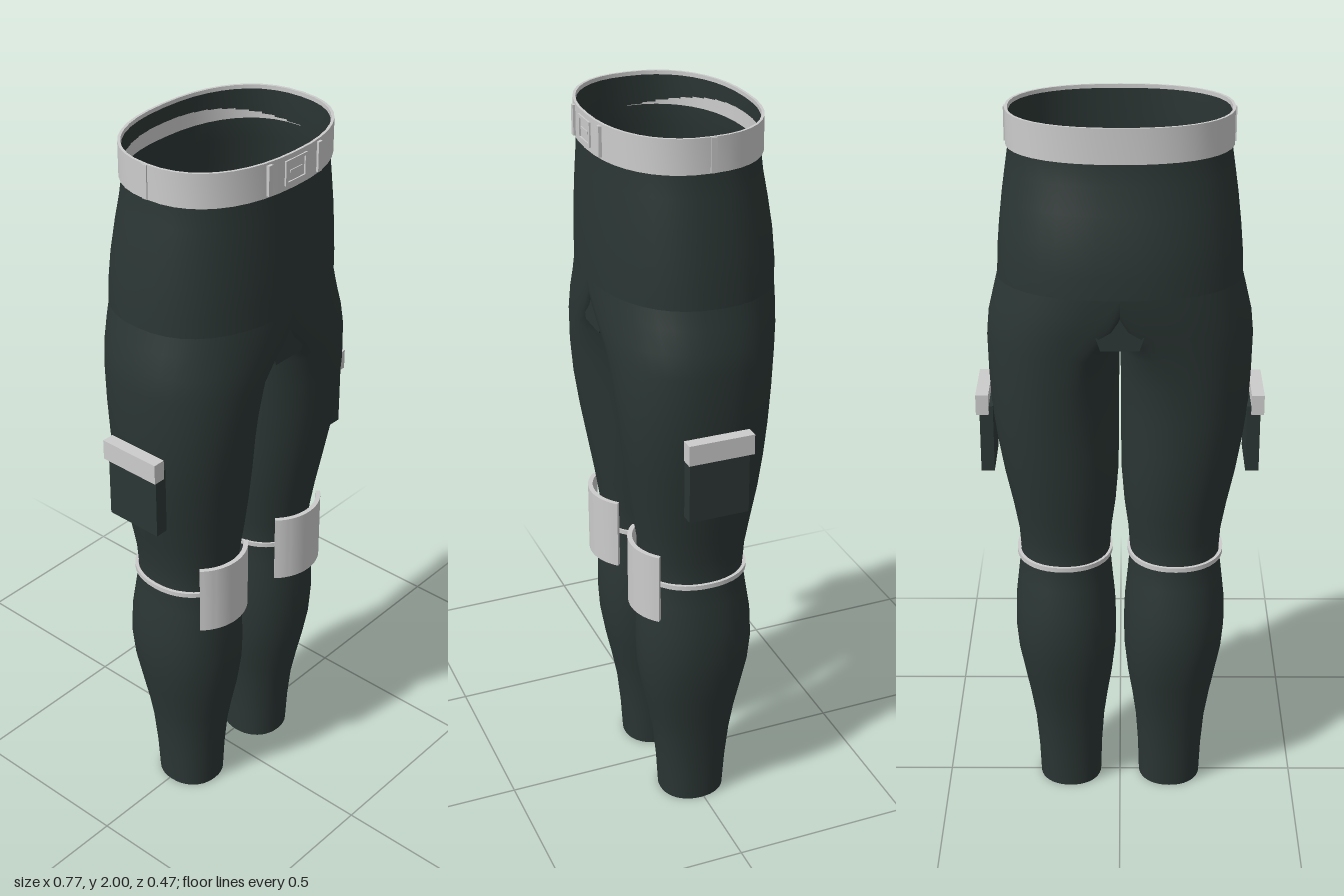
import * as THREE from 'three';
import { toCreasedNormals } from 'three/addons/utils/BufferGeometryUtils.js';

const SEG = 40;
const cloth = new THREE.MeshStandardMaterial({ color: 0x2b3634, side: THREE.DoubleSide });
cloth.name = 'dark cloth';
const trim = new THREE.MeshStandardMaterial({ color: 0xcccccc, side: THREE.DoubleSide });
trim.name = 'light grey trim';

// Rounded ring point; n > 2 squares the ellipse slightly
function oval(t, cx, cz, rx, rz, n = 2) {
  const c = Math.cos(t), s = Math.sin(t);
  return [cx + rx * Math.sign(c) * Math.abs(c) ** (2 / n), cz + rz * Math.sign(s) * Math.abs(s) ** (2 / n)];
}

// Skin a list of rows (top to bottom); point(row, angle) returns [x, y, z]
function loft(rows, point, flip = false) {
  const pos = [], idx = [];
  rows.forEach((row, r) => {
    for (let i = 0; i < SEG; i++) {
      pos.push(...point(row, (i / SEG) * Math.PI * 2));
      if (r === 0) continue;
      const j = (i + 1) % SEG;
      const a = (r - 1) * SEG + i, b = (r - 1) * SEG + j, c = r * SEG + i, d = r * SEG + j;
      if (flip) idx.push(a, c, b, b, c, d);
      else idx.push(a, b, c, b, d, c);
    }
  });
  const g = new THREE.BufferGeometry();
  g.setAttribute('position', new THREE.Float32BufferAttribute(pos, 3));
  g.setIndex(idx);
  g.computeVertexNormals();
  return g;
}

function add(parent, name, geo, mat, x = 0, y = 0, z = 0) {
  const m = new THREE.Mesh(geo, mat);
  m.name = name;
  m.position.set(x, y, z);
  parent.add(m);
  return m;
}

// Band with a rectangular section around an oval
function band(y0, y1, cx, cz, rx, rz, thick, n) {
  const rows = [[y1, thick], [y0, thick], [y0, 0], [y1, 0], [y1, thick]];
  const g = loft(rows, ([y, o], t) => {
    const [x, z] = oval(t, cx, cz, rx + o, rz + o, n);
    return [x, y, z];
  });
  return toCreasedNormals(g, 0.7);
}

// Hips: y, half width, front z, back z
const HIP = [
  [1.99, 0.282, 0.228, -0.193], [1.91, 0.284, 0.229, -0.195], [1.85, 0.293, 0.232, -0.201],
  [1.78, 0.303, 0.236, -0.214], [1.7, 0.312, 0.239, -0.227], [1.63, 0.318, 0.24, -0.233], [1.57, 0.32, 0.239, -0.233],
];
// Legs: y, inner x, outer x, front z, back z, share of the half-hip outline
const LEG = [
  [1.57, 0, 0.32, 0.239, -0.233, 1], [1.52, 0, 0.332, 0.237, -0.228, 0.8], [1.46, 0, 0.346, 0.234, -0.216, 0.5],
  [1.4, 0, 0.352, 0.23, -0.202, 0.25], [1.3, 0.002, 0.35, 0.223, -0.19, 0.08], [1.2, 0.003, 0.345, 0.213, -0.18, 0],
  [1.1, 0.003, 0.332, 0.2, -0.173, 0], [1.0, 0.004, 0.315, 0.184, -0.163, 0], [0.9, 0.012, 0.294, 0.168, -0.148, 0],
  [0.82, 0.023, 0.28, 0.156, -0.135, 0], [0.75, 0.028, 0.275, 0.15, -0.13, 0], [0.68, 0.022, 0.284, 0.155, -0.14, 0],
  [0.6, 0.014, 0.293, 0.163, -0.153, 0], [0.52, 0.011, 0.295, 0.165, -0.157, 0], [0.44, 0.013, 0.288, 0.161, -0.15, 0],
  [0.36, 0.022, 0.273, 0.148, -0.134, 0], [0.28, 0.035, 0.258, 0.131, -0.116, 0], [0.2, 0.046, 0.245, 0.116, -0.103, 0],
  [0.1, 0.053, 0.237, 0.106, -0.092, 0], [0, 0.056, 0.233, 0.1, -0.085, 0],
];

function legPoint([y, inner, outer, zf, zb, k], t, side) {
  const cz = (zf + zb) / 2, rz = (zf - zb) / 2, rx = (outer - inner) / 2;
  const e = oval(t, inner + rx, cz, rx, rz, 2.15);
  const h = oval(t, 0, cz, outer, rz, 2.3);
  const hx = Math.max(h[0], 0);
  const dip = 0.09 * k * Math.sqrt(Math.max(0, -Math.cos(t))); // saddle between the legs
  return [side * (e[0] + (hx - e[0]) * k), y - dip, e[1] + (h[1] - e[1]) * k];
}

// Curved plate, arc in plan, extruded upward
function kneePadGeometry() {
  const R = 0.134, a = 0.82, shape = new THREE.Shape();
  shape.absarc(0, 0, R, Math.PI / 2 - a, Math.PI / 2 + a, false);
  shape.absarc(0, 0, R - 0.013, Math.PI / 2 + a, Math.PI / 2 - a, true);
  shape.closePath();
  const g = new THREE.ExtrudeGeometry(shape, { depth: 0.2, bevelEnabled: false, curveSegments: 12 });
  g.rotateX(Math.PI / 2); // shape y becomes z, depth runs down
  return toCreasedNormals(g, 0.6);
}

export function createModel() {
  const model = new THREE.Group();
  model.name = 'trousers';

  add(model, 'hips', loft(HIP, ([y, w, zf, zb], t) => {
    const [x, z] = oval(t, 0, (zf + zb) / 2, w, (zf - zb) / 2, 2.3);
    return [x, y, z];
  }), cloth);

  // Waistband with side loops and front buckle
  add(model, 'waistband', band(1.91, 2, 0, 0.0175, 0.284, 0.2115, 0.007, 2.3), trim);
  const buckle = new THREE.Group();
  buckle.name = 'buckle';
  buckle.position.set(0, 1.955, 0.234);
  model.add(buckle);
  for (const s of [-1, 1]) {
    add(model, 'sideLoop', new THREE.BoxGeometry(0.008, 0.088, 0.016), trim, s * 0.29, 1.955, 0.0155);
    add(buckle, 'beltLoop', new THREE.BoxGeometry(0.014, 0.078, 0.012), trim, s * 0.092, 0, -0.004);
    add(buckle, 'frameSide', new THREE.BoxGeometry(0.008, 0.064, 0.01), trim, s * 0.036, 0, 0);
    add(buckle, 'frameRail', new THREE.BoxGeometry(0.08, 0.008, 0.01), trim, 0, s * 0.028, 0);
  }
  add(buckle, 'tongue', new THREE.BoxGeometry(0.045, 0.008, 0.008), trim);

  // Crotch gusset running front to back
  const gusset = new THREE.Shape([[-0.05, 1.43], [0.05, 1.43], [0.068, 1.485], [0.03, 1.52], [-0.03, 1.52], [-0.068, 1.485]]
    .map(([x, y]) => new THREE.Vector2(x, y)));
  add(model, 'gusset', new THREE.ExtrudeGeometry(gusset, { depth: 0.445, bevelEnabled: false }), cloth, 0, 0, -0.218);

  for (const s of [1, -1]) {
    const side = new THREE.Group();
    side.name = s > 0 ? 'leftLeg' : 'rightLeg';
    model.add(side);
    add(side, 'trouserLeg', loft(LEG, (row, t) => legPoint(row, t, s), s < 0), cloth);

    // Knee pad and its strap
    add(side, 'kneePad', kneePadGeometry(), trim, s * 0.156, 0.85, 0.054);
    add(side, 'kneeStrap', band(0.744, 0.757, s * 0.1535, 0.008, 0.124, 0.138, 0.009, 2.15), trim);

    // Thigh pocket with flap
    add(side, 'pocket', new THREE.BoxGeometry(0.036, 0.19, 0.165), cloth, s * 0.357, 1.11, 0.026);
    add(side, 'pocketFlap', new THREE.BoxGeometry(0.034, 0.056, 0.18), trim, s * 0.367, 1.212, 0.024);
  }
  return model;
}
